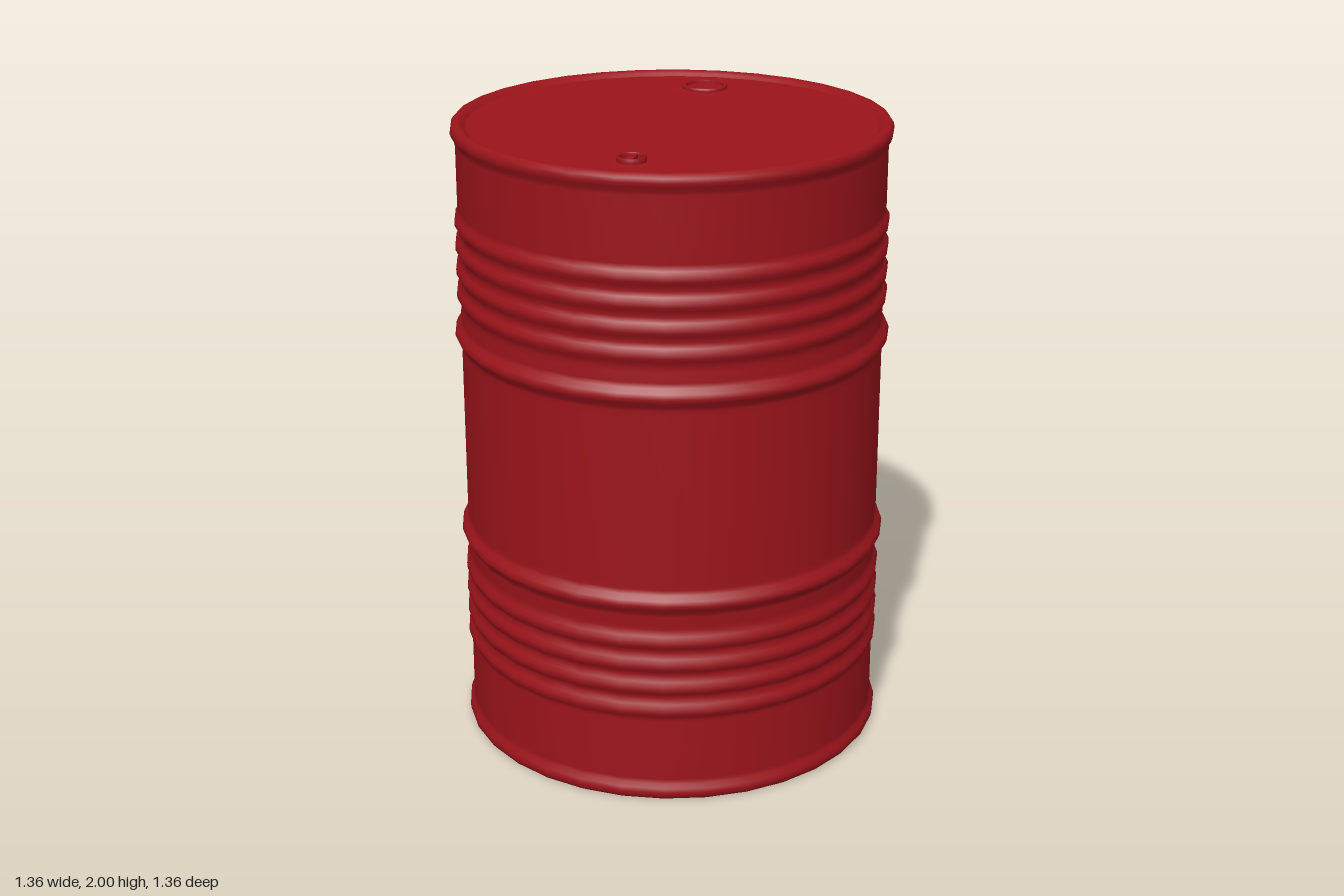
import * as THREE from 'three';

const SEGMENTS = 32;
const LID_Y = 1.98;

export function createModel() {
  const drum = new THREE.Group();
  drum.name = 'drum';
  const red = new THREE.MeshStandardMaterial({ color: 0x9b141b });

  const add = (parent, name, geometry, x = 0, y = 0, z = 0) => {
    const mesh = new THREE.Mesh(geometry, red);
    mesh.name = name;
    mesh.position.set(x, y, z);
    parent.add(mesh);
    return mesh;
  };
  const lathe = (points, segments) =>
    new THREE.LatheGeometry(points.map(([r, y]) => new THREE.Vector2(r, y)), segments);
  const disc = (radius, segments) =>
    new THREE.CircleGeometry(radius, segments).rotateX(-Math.PI / 2);

  // Lower half of the wall: rolled rim, four small ribs, one large hoop
  const half = [
    [0.63, 0.02], [0.64, 0.012], [0.647, 0.006], [0.655, 0.004], [0.667, 0.006],
    [0.675, 0.016], [0.677, 0.03], [0.673, 0.043], [0.665, 0.056], [0.662, 0.07],
    [0.662, 0.27],
  ];
  for (let i = 0; i < 4; i++) {
    const y = 0.31 + i * 0.077;
    half.push([0.657, y - 0.036], [0.664, y - 0.021], [0.672, y - 0.008],
      [0.672, y + 0.008], [0.664, y + 0.021]);
  }
  half.push([0.657, 0.582], [0.662, 0.595], [0.66, 0.626], [0.664, 0.64],
    [0.676, 0.655], [0.682, 0.67], [0.676, 0.685], [0.664, 0.7],
    [0.66, 0.714], [0.662, 0.73]);
  const upper = half.map(([r, y]) => [r, 2 - y]).reverse();
  add(drum, 'wall', lathe([...half, ...upper], SEGMENTS));

  // Recessed end plates
  add(drum, 'lid', disc(0.63, SEGMENTS), 0, LID_Y, 0);
  add(drum, 'base', disc(0.63, SEGMENTS).rotateX(Math.PI), 0, 0.02, 0);

  // Threaded collar with a sunken plug, standing in a soft raised seat
  const makeBung = (name, radius, height, z) => {
    const bung = new THREE.Group();
    bung.name = name;
    bung.position.set(0, LID_Y, z);
    const inner = radius * 0.84;
    add(bung, 'seat', lathe([[radius * 1.35, 0], [radius * 1.12, 0.002], [radius * 0.95, 0.004]], 24));
    add(bung, 'collar', lathe([
      [radius * 0.97, 0], [radius, height * 0.4], [radius * 0.98, height * 0.85],
      [radius * 0.93, height], [inner * 1.03, height], [inner, height * 0.8], [inner, 0.003],
    ], 24));
    add(bung, 'plug', disc(inner, 24), 0, 0.004, 0);
    drum.add(bung);
    return bung;
  };

  // Large bung with two grip lugs inside the collar
  const large = makeBung('largeBung', 0.073, 0.015, -0.46);
  for (const side of [-1, 1]) {
    add(large, 'gripLug', new THREE.BoxGeometry(0.05, 0.009, 0.012), 0, 0.0075, side * 0.051);
  }

  // Small bung with a grip bar across the plug
  const small = makeBung('smallBung', 0.044, 0.02, 0.495);
  add(small, 'gripBar', new THREE.BoxGeometry(0.02, 0.014, 0.066), 0, 0.01, 0);

  return drum;
}
